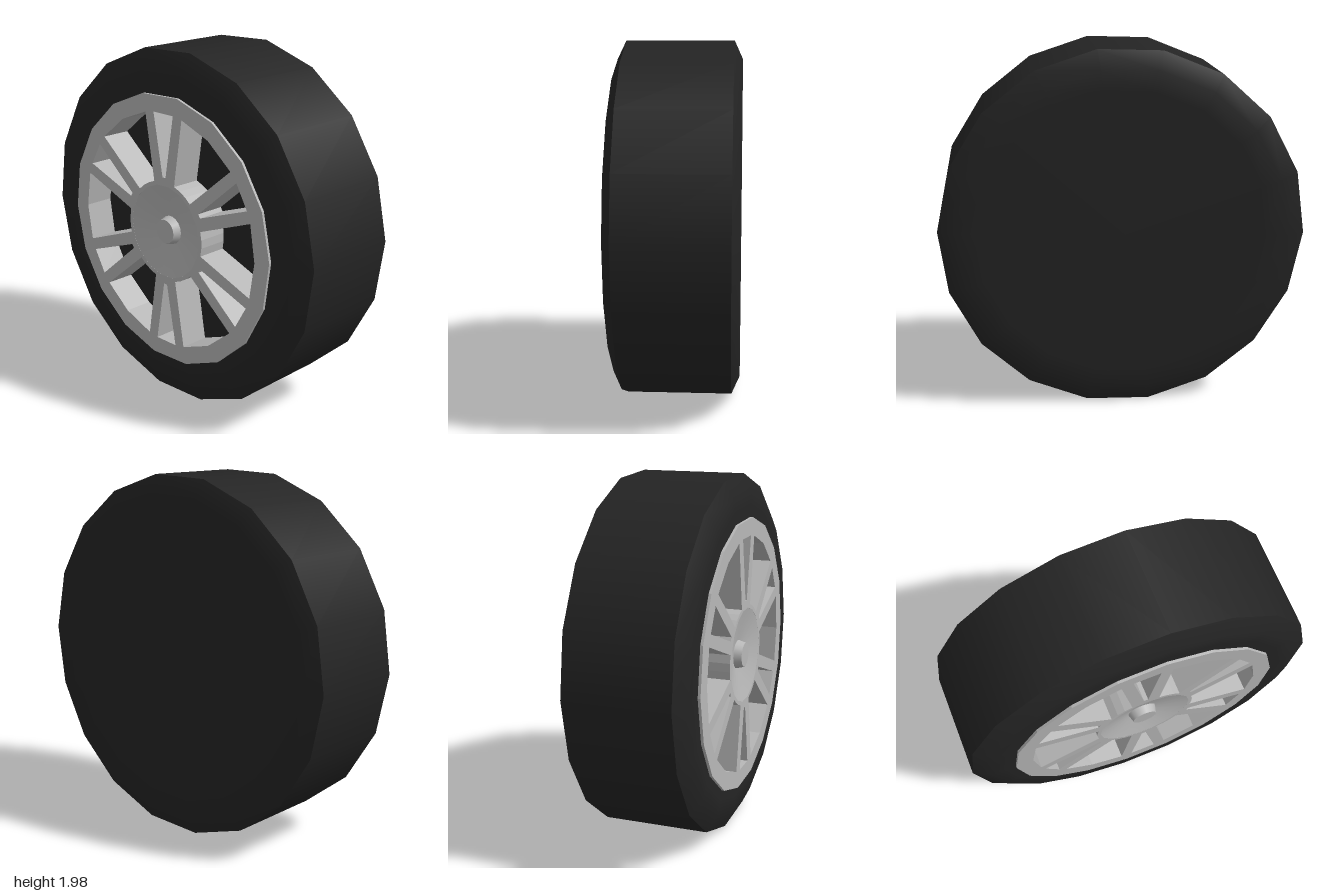
import * as THREE from 'three';

const SIDES = 18;
const TWIST = THREE.MathUtils.degToRad(2);
const FACE = -0.35; // outer face of the rim
const DEPTH = 0.17;

export function createModel() {
  const rubber = new THREE.MeshStandardMaterial({ color: 0x242424 });
  rubber.name = 'black rubber';
  const metal = new THREE.MeshStandardMaterial({ color: 0xb8b8b8 });
  metal.name = 'light grey metal';

  const wheel = new THREE.Group();
  wheel.name = 'wheel';
  wheel.position.y = 0.99;
  const add = (name, geometry, material) => {
    const mesh = new THREE.Mesh(geometry, material);
    mesh.name = name;
    wheel.add(mesh);
    return mesh;
  };

  // Revolve [radius, x] pairs around the axle
  const revolve = (profile) => {
    const points = profile.map(([r, x]) => new THREE.Vector2(r, x));
    return new THREE.LatheGeometry(points, SIDES, -TWIST).rotateZ(-Math.PI / 2);
  };

  // Tyre with bevelled shoulders, closed back and a well behind the spokes;
  // doubled points keep an edge sharp
  add('tyre', revolve([
    [0, -0.17], [0.745, -0.17], [0.745, -0.17],
    [0.745, -0.335], [0.745, -0.335], [0.82, -0.335], [0.9, -0.335],
    [1, -0.285], [1, -0.285], [1, 0.3], [1, 0.3],
    [0.9, 0.345], [0.78, 0.345], [0, 0.345],
  ]), rubber);

  // Rim: a ring with six pairs of spokes, cut from one plate
  const polar = (r, a) => new THREE.Vector2(r * Math.cos(a), r * Math.sin(a));
  const polygon = (r) =>
    Array.from({ length: SIDES }, (_, i) => polar(r, TWIST + (i * 2 * Math.PI) / SIDES));
  const arc = (r, from, to, n) =>
    Array.from({ length: n + 1 }, (_, i) => polar(r, from + ((to - from) * i) / n));

  const plate = new THREE.Shape(polygon(0.765));
  plate.holes.push(new THREE.Path(polygon(0.265)));
  const outer = 0.665, inner = 0.285;
  for (let i = 0; i < 6; i++) {
    const a = Math.PI / 2 + (i * Math.PI) / 3;
    // narrow gap inside a spoke pair
    const gapOut = Math.asin(0.075 / outer), gapIn = Math.asin(0.012 / 0.31);
    plate.holes.push(new THREE.Path([
      ...arc(outer, a - gapOut, a + gapOut, 1), ...arc(0.31, a + gapIn, a - gapIn, 1),
    ]));
    // wide opening between neighbouring pairs
    const mid = a + Math.PI / 6;
    const wOut = Math.PI / 6 - Math.asin(0.14 / outer);
    const wIn = Math.PI / 6 - Math.asin(0.078 / inner);
    plate.holes.push(new THREE.Path([
      ...arc(outer, mid - wOut, mid + wOut, 2), ...arc(inner, mid + wIn, mid - wIn, 3),
    ]));
  }
  const rim = new THREE.ExtrudeGeometry(plate, { depth: DEPTH, bevelEnabled: false });
  rim.rotateY(-Math.PI / 2).translate(FACE + DEPTH, 0, 0);
  add('rimAndSpokes', rim, metal);

  // Dished hub and its centre cap
  add('hubDish', revolve([[0, -0.3], [0.07, -0.302], [0.266, FACE]]), metal);
  const cap = new THREE.CylinderGeometry(0.085, 0.068, 0.06, SIDES).rotateZ(-Math.PI / 2);
  add('centreCap', cap, metal).position.x = -0.319;

  const model = new THREE.Group();
  model.name = 'carWheel';
  model.add(wheel);
  return model;
}
